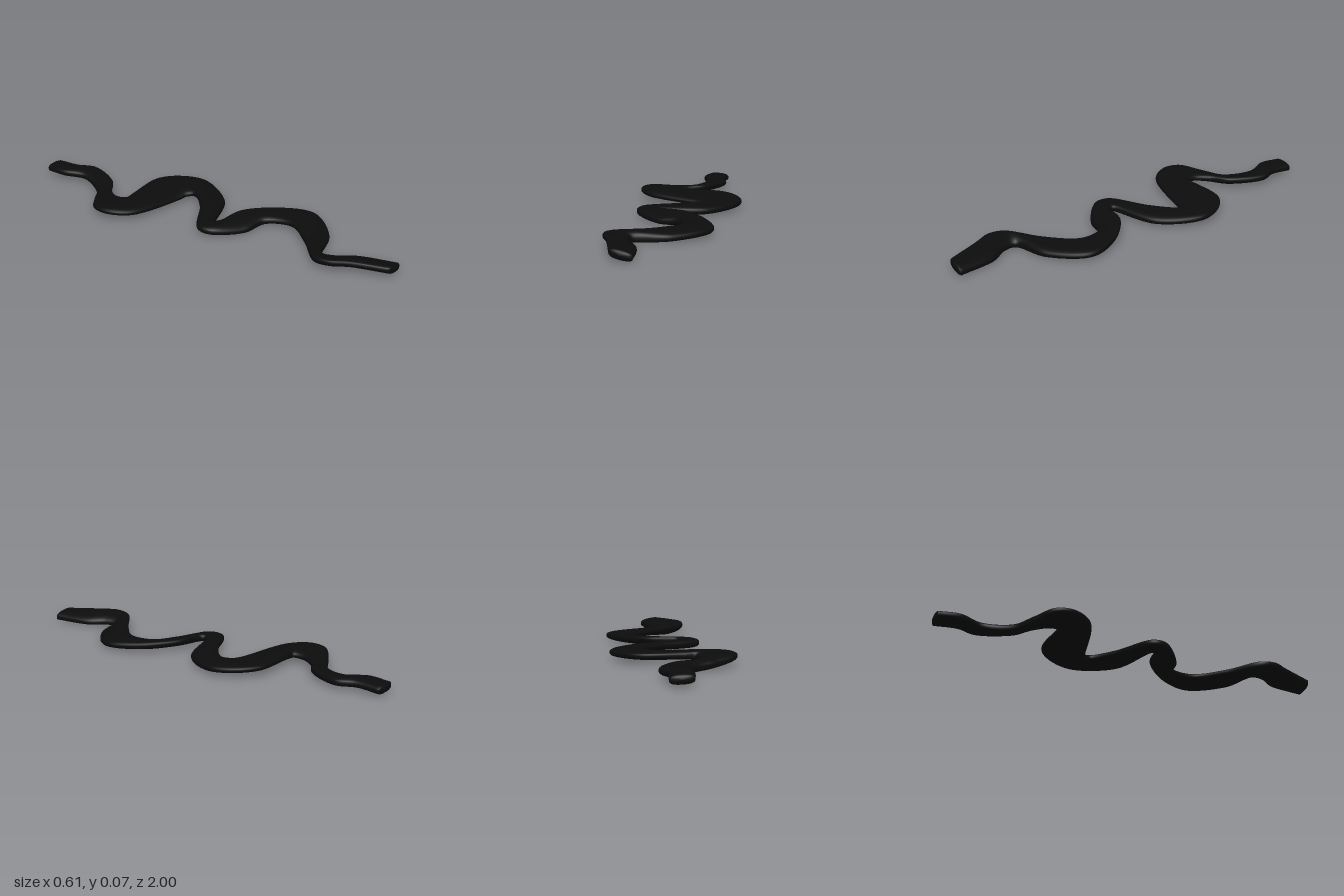
import * as THREE from 'three';

// Stations along the ribbon: left edge x, z, y, then right edge x, z, y
const STATIONS = [
  [-0.075, -0.985, 0.052, 0.035, -0.985, 0.046],
  [-0.078, -0.88, 0.055, 0.037, -0.87, 0.052],
  [-0.038, -0.77, 0.046, 0.07, -0.78, 0.052],
  [-0.10, -0.635, 0.032, 0.00, -0.61, 0.05],
  [-0.20, -0.565, 0.042, -0.085, -0.545, 0.046],
  [-0.29, -0.49, 0.06, -0.125, -0.475, 0.05],
  [-0.30, -0.40, 0.063, -0.115, -0.418, 0.056],
  [-0.23, -0.30, 0.056, -0.06, -0.42, 0.06],
  [0.06, -0.222, 0.04, 0.14, -0.425, 0.06],
  [0.105, -0.208, 0.045, 0.24, -0.345, 0.056],
  [0.122, -0.175, 0.05, 0.282, -0.22, 0.05],
  [0.03, -0.075, 0.055, 0.17, -0.02, 0.04],
  [-0.155, 0.045, 0.05, -0.055, 0.08, 0.05],
  [-0.155, 0.12, 0.048, -0.05, 0.103, 0.055],
  [-0.02, 0.23, 0.03, 0.09, 0.13, 0.06],
  [0.10, 0.265, 0.038, 0.24, 0.265, 0.05],
  [0.136, 0.39, 0.046, 0.302, 0.425, 0.044],
  [0.03, 0.53, 0.05, 0.165, 0.59, 0.034],
  [-0.105, 0.66, 0.06, -0.005, 0.65, 0.03],
  [-0.11, 0.74, 0.066, 0.005, 0.715, 0.032],
  [-0.065, 0.825, 0.066, 0.065, 0.80, 0.03],
  [0.002, 0.985, 0.054, 0.11, 0.985, 0.034],
];
const HALF_THICKNESS = 0.022, SEGMENTS = 360, SIDES = 32, CAP_STEPS = 5, CAP_LENGTH = 0.015;

function edgeCurve(offset) {
  return new THREE.CatmullRomCurve3(STATIONS.map(s =>
    new THREE.Vector3(s[offset], s[offset + 2], s[offset + 1])));
}

function ribbonGeometry() {
  const left = edgeCurve(0), right = edgeCurve(3);
  const soften = v => Math.sign(v) * Math.pow(Math.abs(v), 0.75);
  const positions = [], index = [];
  // One flattened oval between the two edges
  const addRing = (t, dz, scale) => {
    const a = left.getPoint(t), b = right.getPoint(t);
    const centre = a.clone().add(b).multiplyScalar(0.5);
    const half = b.clone().sub(a).multiplyScalar(0.5 * scale);
    for (let j = 0; j < SIDES; j++) {
      const angle = j / SIDES * Math.PI * 2;
      const c = soften(Math.cos(angle)), s = soften(Math.sin(angle));
      positions.push(centre.x + half.x * c,
        centre.y + half.y * c + HALF_THICKNESS * scale * s,
        centre.z + half.z * c + dz);
    }
  };
  // Rounded back end, body, rounded front end
  const addCapRing = (t, side, k) => {
    const angle = k / CAP_STEPS * Math.PI / 2;
    addRing(t, side * CAP_LENGTH * Math.sin(angle), Math.cos(angle));
  };
  for (let k = CAP_STEPS; k > 0; k--) addCapRing(0, -1, k);
  for (let i = 0; i <= SEGMENTS; i++) addRing(i / SEGMENTS, 0, 1);
  for (let k = 1; k <= CAP_STEPS; k++) addCapRing(1, 1, k);

  const ringCount = SEGMENTS + 1 + 2 * CAP_STEPS;
  for (let i = 0; i < ringCount - 1; i++) {
    for (let j = 0; j < SIDES; j++) {
      const p = i * SIDES + j, q = i * SIDES + (j + 1) % SIDES;
      index.push(p, q, p + SIDES, q, q + SIDES, p + SIDES);
    }
  }
  const geometry = new THREE.BufferGeometry();
  geometry.setAttribute('position', new THREE.Float32BufferAttribute(positions, 3));
  geometry.setIndex(index);
  geometry.computeVertexNormals();
  return geometry;
}

export function createModel() {
  const group = new THREE.Group();
  group.name = 'windingRibbon';
  const ribbon = new THREE.Mesh(ribbonGeometry(),
    new THREE.MeshStandardMaterial({ color: 0x0c0c0c }));
  ribbon.name = 'ribbon';
  group.add(ribbon);
  return group;
}
